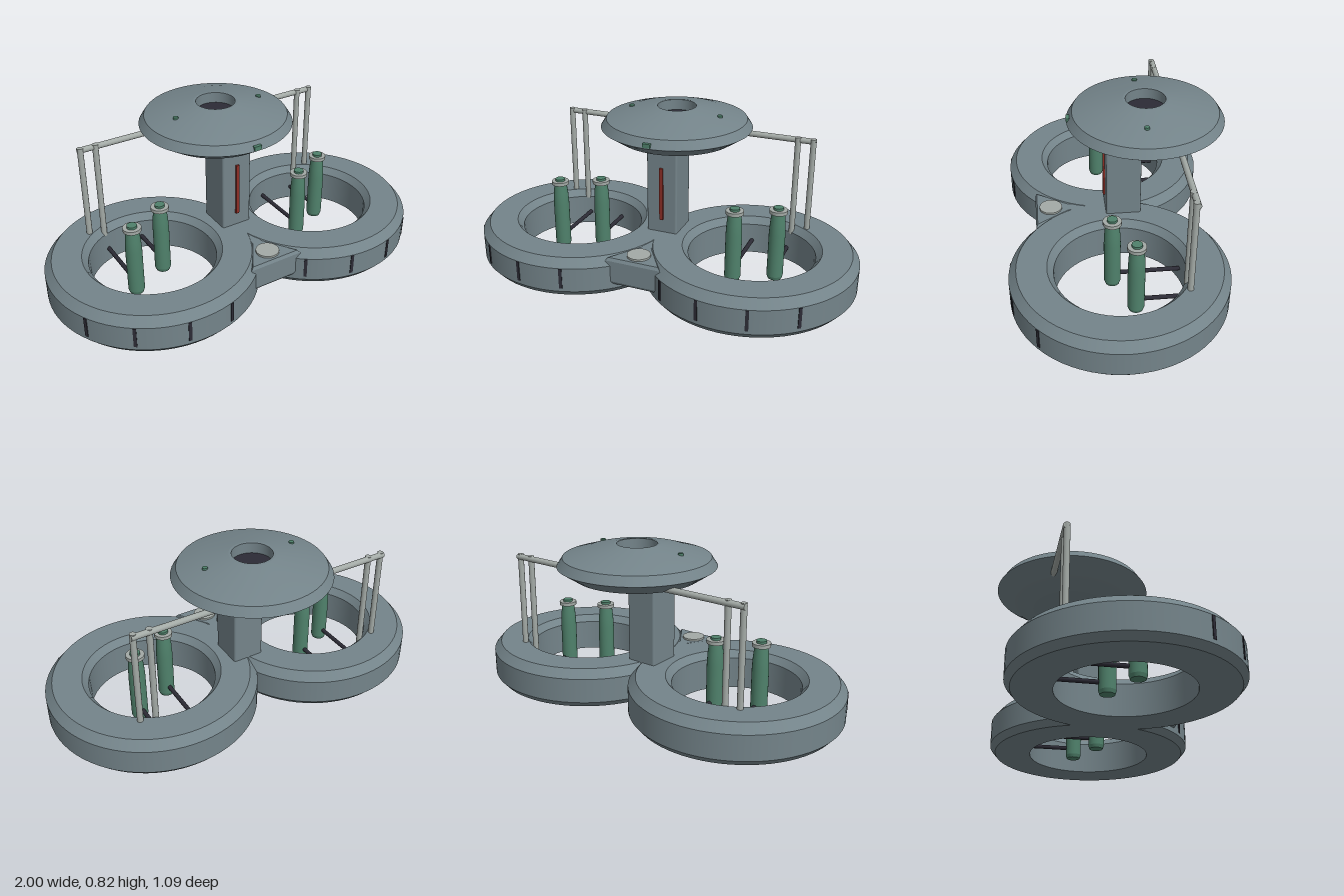
import * as THREE from 'three';
import { mergeGeometries } from 'three/addons/utils/BufferGeometryUtils.js';
import { RoundedBoxGeometry } from 'three/addons/geometries/RoundedBoxGeometry.js';

const paint = (name, color) => {
  const m = new THREE.MeshStandardMaterial({ color });
  m.name = name;
  return m;
};

// Lathe made of separate smooth bands, so edges between bands stay sharp
const bands = (profiles, segments) => mergeGeometries(profiles.map(p =>
  new THREE.LatheGeometry(p.map(([r, y]) => new THREE.Vector2(r, y)), segments)));

const pairs = pts => pts.slice(1).map((p, i) => [pts[i], p]);

export function createModel() {
  const model = new THREE.Group();
  const hull = paint('hull blue grey', 0x74848a);
  const pale = paint('pale metal', 0xa3aaa6);
  const green = paint('tank green', 0x4f816b);
  const dark = paint('dark recess', 0x2c2b35);
  const red = paint('red strip', 0x8c2d24);

  const add = (name, geometry, material, x = 0, y = 0, z = 0, parent = model) => {
    const mesh = new THREE.Mesh(geometry, material);
    mesh.name = name;
    mesh.position.set(x, y, z);
    parent.add(mesh);
    return mesh;
  };

  // Two overlapping base rings with bevelled rims
  const ringGeo = bands(pairs([
    [0.315, 0], [0.5, 0], [0.527, 0.032], [0.527, 0.157], [0.49, 0.2],
    [0.345, 0.2], [0.315, 0.165], [0.315, 0]
  ]), 72);
  const slotGeo = new THREE.BoxGeometry(0.016, 0.105, 0.01);
  const slotAngles = { '-1': [-62, -36, -9, 16], '1': [-37, -11, 15, 41] };
  for (const side of [-1, 1]) {
    const ring = new THREE.Group();
    ring.name = side > 0 ? 'leftRing' : 'rightRing';
    ring.position.set(side * 0.473, 0, 0.015);
    model.add(ring);
    add('ringBody', ringGeo, hull, 0, 0, 0, ring);
    // Dark vertical slots around the front
    for (const deg of slotAngles[side]) {
      const a = THREE.MathUtils.degToRad(deg);
      add('ringSlot', slotGeo, dark, Math.sin(a) * 0.525, 0.103, Math.cos(a) * 0.525, ring).rotation.y = a;
    }
  }

  // Wedge joining the rings at the front, narrower towards the bottom
  const wedge = new THREE.Shape();
  wedge.moveTo(-0.13, -0.395);
  wedge.lineTo(0.13, -0.395);
  wedge.lineTo(0.025, -0.235);
  wedge.lineTo(0.025, -0.1);
  wedge.lineTo(-0.025, -0.1);
  wedge.lineTo(-0.025, -0.235);
  const wedgeGeo = new THREE.ExtrudeGeometry(wedge, {
    depth: 0.11, bevelThickness: 0.015, bevelSize: 0.013, bevelSegments: 1
  });
  wedgeGeo.rotateX(-Math.PI / 2);
  const wp = wedgeGeo.attributes.position;
  for (let i = 0; i < wp.count; i++) {
    wp.setX(i, wp.getX(i) * THREE.MathUtils.mapLinear(wp.getY(i), -0.015, 0.125, 0.87, 1));
  }
  wedgeGeo.computeVertexNormals();
  add('frontWedge', wedgeGeo, hull, 0, 0.073, 0);
  add('wedgeHatch', new THREE.CylinderGeometry(0.058, 0.058, 0.02, 32), pale, 0, 0.198, 0.325);

  // Central column with red strip
  add('column', new RoundedBoxGeometry(0.162, 0.6, 0.178, 2, 0.01), hull, 0, 0.35, -0.046);
  add('columnStrip', new THREE.BoxGeometry(0.018, 0.28, 0.02), red, 0, 0.41, 0.043);

  // Saucer with an open well on top
  const saucer = new THREE.Group();
  saucer.name = 'saucer';
  saucer.position.z = -0.157;
  model.add(saucer);
  add('saucerBody', bands([
    [[0, 0.627], [0.2, 0.627]],
    [[0.2, 0.627], [0.303, 0.66], [0.386, 0.715]],
    [[0.386, 0.715], [0.358, 0.758]],
    [[0.358, 0.758], [0.243, 0.793], [0.111, 0.819]],
    [[0.111, 0.819], [0.098, 0.819]],
    [[0.098, 0.819], [0.098, 0.76]]
  ], 64), hull, 0, 0, 0, saucer);
  add('wellFloor', new THREE.CircleGeometry(0.1, 40).rotateX(-Math.PI / 2), dark, 0, 0.765, 0, saucer);
  for (const side of [-1, 1]) {
    add('topLight', new THREE.CylinderGeometry(0.013, 0.013, 0.012, 12), green, side * 0.238, 0.796, 0.025, saucer);
  }
  add('frontLight', new THREE.BoxGeometry(0.04, 0.02, 0.03), green, 0, 0.729, 0.372, saucer);

  // Pipe frames running into the saucer
  const postGeo = new THREE.CylinderGeometry(0.015, 0.015, 0.53, 16);
  const railGeo = new THREE.CylinderGeometry(0.015, 0.015, 0.44, 16).rotateZ(Math.PI / 2);
  for (const side of [-1, 1]) {
    for (const x of [0.6, 0.678]) add('framePost', postGeo, pale, side * x, 0.423, -0.285);
    add('frameRail', railGeo, pale, side * 0.47, 0.673, -0.29);
  }

  // Tanks hung inside the rings on dark rods
  const tankGeo = bands([
    [[0, 0.012], [0.035, 0.012]],
    [[0.035, 0.012], [0.041, 0.03]],
    [[0.041, 0.03], [0.041, 0.26], [0.038, 0.32], [0.032, 0.375]]
  ], 24);
  const collarGeo = new THREE.CylinderGeometry(0.045, 0.045, 0.018, 24);
  const capGeo = new THREE.CylinderGeometry(0.025, 0.025, 0.02, 20);
  for (const [x, z] of [[-0.585, 0.043], [-0.39, -0.05], [0.387, 0.043], [0.581, -0.05]]) {
    const tank = new THREE.Group();
    tank.name = 'tank';
    tank.position.set(x, 0, z);
    model.add(tank);
    add('tankBody', tankGeo, green, 0, 0, 0, tank);
    add('tankCollar', collarGeo, pale, 0, 0.381, 0, tank);
    add('tankCap', capGeo, green, 0, 0.392, 0, tank);
    const length = z + 0.295;
    add('tankRod', new THREE.CylinderGeometry(0.011, 0.011, length, 12).rotateX(Math.PI / 2),
      dark, 0, 0.07, -length / 2, tank);
  }
  return model;
}
